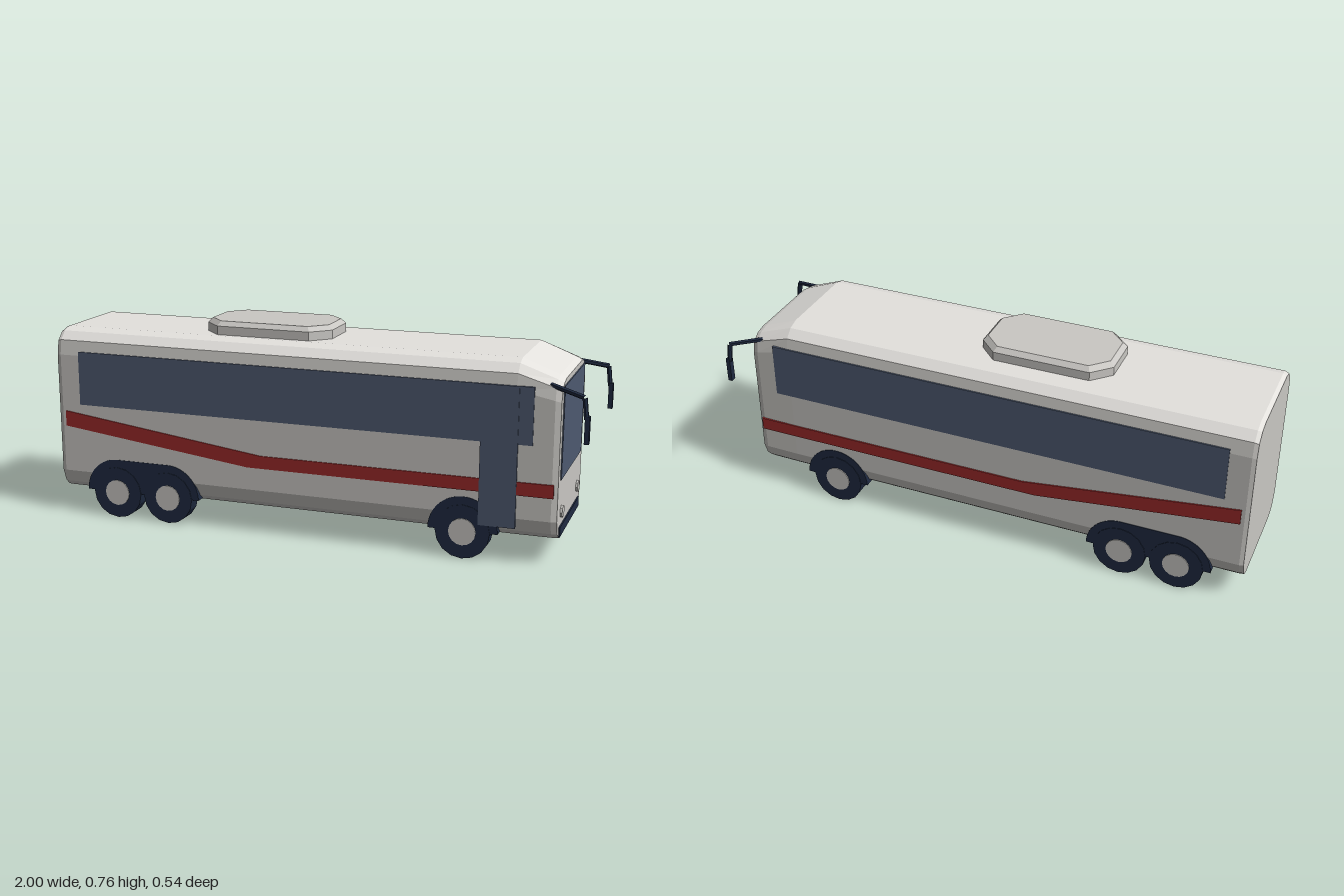
import * as THREE from 'three';

const mat = (name, color, extra = {}) => {
  const m = new THREE.MeshStandardMaterial({ color, ...extra });
  m.name = name;
  return m;
};

export function createModel() {
  const bus = new THREE.Group();
  bus.name = 'coach';
  const paint = mat('body paint', 0xcac8c4, { flatShading: true });
  const roofPaint = mat('roof paint', 0xe4e2de, { flatShading: true });
  const glass = mat('tinted glass', 0x4e5a71);
  const dark = mat('dark trim', 0x1f2a41, { flatShading: true });
  const red = mat('red stripe', 0x9a2a2a);

  const add = (name, geometry, material, x = 0, y = 0, z = 0) => {
    const m = new THREE.Mesh(geometry, material);
    m.name = name;
    m.position.set(x, y, z);
    bus.add(m);
    return m;
  };
  const box = (name, material, x0, x1, y0, y1, z0, z1) =>
    add(name, new THREE.BoxGeometry(x1 - x0, y1 - y0, z1 - z0), material,
      (x0 + x1) / 2, (y0 + y1) / 2, (z0 + z1) / 2);
  // flat outline in x and y, given depth along z between z0 and z1
  const plate = (name, shape, material, z0, z1) =>
    add(name, new THREE.ExtrudeGeometry(shape, { depth: z1 - z0, bevelEnabled: false, curveSegments: 8 }),
      material, 0, 0, z0);
  const outline = pts => new THREE.Shape(pts.map(p => new THREE.Vector2(...p)));

  // closed loft through equal-length loops; strips picked by isSecond use the second material
  const loft = (loops, isSecond = () => false) => {
    const bins = [[], []];
    const tri = (bin, ...p) => p.forEach(v => bins[bin].push(...v));
    const n = loops[0].length;
    for (let s = 0; s < loops.length - 1; s++) {
      for (let i = 0; i < n; i++) {
        const j = (i + 1) % n, bin = isSecond(i) ? 1 : 0;
        const [a, b, c, d] = [loops[s][i], loops[s + 1][i], loops[s + 1][j], loops[s][j]];
        tri(bin, a, b, c);
        tri(bin, a, c, d);
      }
    }
    const end = loops[loops.length - 1];
    for (let i = 1; i < n - 1; i++) {
      tri(0, loops[0][0], loops[0][i], loops[0][i + 1]);
      tri(0, end[0], end[i + 1], end[i]);
    }
    const g = new THREE.BufferGeometry();
    g.setAttribute('position', new THREE.Float32BufferAttribute(bins.flat(), 3));
    g.addGroup(0, bins[0].length / 3, 0);
    g.addGroup(bins[0].length / 3, bins[1].length / 3, 1);
    g.computeVertexNormals();
    return g;
  };

  // Body shell: rounded section, pulled in at the tail and sloped at the nose, with a paler roof
  const half = [[0.17, 0.087], [0.2, 0.097], [0.222, 0.117], [0.24, 0.165],
    [0.24, 0.615], [0.23, 0.67], [0.2, 0.7], [0.16, 0.712]];
  const section = [...half, ...half.map(([z, y]) => [-z, y]).reverse()];
  const stations = [[-1, 0.982, 0.006], [-0.985, 1, 0], [0.75, 1, 0], [0.88, 0.99, 0.05], [0.9, 0.96, 0.061]];
  const shell = stations.map(([x, w, drop]) => section.map(([z, y]) =>
    [x, y > 0.4 ? y - drop * (y - 0.5) / 0.212 : y, z * w]));
  add('bodyShell', loft(shell, i => i >= 5 && i <= 9), [paint, roofPaint]);

  // Roof unit: chamfered octagon with a bevelled lid
  const octagon = (y, inset) => {
    const a = 0.244 - inset, b = 0.142 - inset, c = 0.066 - inset * 0.4;
    return [[a - c, b], [c - a, b], [-a, b - c], [-a, c - b],
      [c - a, -b], [a - c, -b], [a, c - b], [a, b - c]]
      .map(([x, z]) => [x - 0.206, y, z]);
  };
  add('roofUnit', loft([octagon(0.705, 0), octagon(0.744, 0), octagon(0.761, 0.016)]), [paint, paint]);

  // Front end
  box('windscreen', glass, 0.898, 0.904, 0.305, 0.632, -0.197, 0.197);
  box('frontBumper', dark, 0.898, 0.905, 0.097, 0.133, -0.188, 0.188);

  // Side outlines
  const stripe = outline([[-0.972, 0.342], [-0.23, 0.25], [0.887, 0.25], [0.887, 0.297],
    [-0.18, 0.297], [-0.972, 0.4]]);
  const arch = (x0, x1) => {
    const s = new THREE.Shape();
    s.moveTo(x0 - 0.125, 0.1);
    s.lineTo(x1 + 0.125, 0.1);
    s.absarc(x1, 0.1, 0.125, 0, Math.PI / 2, false);
    s.absarc(x0, 0.1, 0.125, Math.PI / 2, Math.PI, false);
    return s;
  };

  for (const side of [1, -1]) {
    const label = side > 0 ? 'Near' : 'Far';
    const span = (a, b) => (side > 0 ? [a, b] : [-b, -a]);

    box('sideWindow' + label, glass, -0.91, 0.81, 0.428, 0.63, ...span(0.234, 0.2425));
    plate('stripe' + label, stripe, red, ...span(0.236, 0.2445));
    plate('rearWheelArch' + label, arch(-0.765, -0.555), dark, ...span(0.188, 0.242));
    plate('frontWheelArch' + label, arch(0.575, 0.575), dark, ...span(0.188, 0.242));

    // Wheels
    for (const x of [-0.765, -0.555, 0.575]) {
      const tyre = new THREE.CylinderGeometry(0.098, 0.098, 0.056, 16).rotateX(Math.PI / 2);
      add('tyre' + label, tyre, dark, x, 0.098, side * 0.216);
      const hub = new THREE.CylinderGeometry(0.049, 0.049, 0.01, 16).rotateX(Math.PI / 2);
      add('hub' + label, hub, paint, x, 0.098, side * 0.242);
    }

    // Headlight
    const lamp = new THREE.CylinderGeometry(0.022, 0.022, 0.012, 8).rotateZ(Math.PI / 2);
    add('headlight' + label, lamp, paint, 0.902, 0.182, side * 0.155);

    // Mirror on a bent arm
    const joints = [[0.86, 0.638, 0.218], [0.98, 0.613, 0.261], [0.988, 0.54, 0.261]]
      .map(([x, y, z]) => new THREE.Vector3(x, y, side * z));
    for (let i = 0; i < 2; i++) {
      const arm = new THREE.TubeGeometry(new THREE.LineCurve3(joints[i], joints[i + 1]), 1, 0.009, 6);
      add('mirrorArm' + label, arm, dark);
    }
    box('mirror' + label, dark, 0.984, 1, 0.457, 0.551, ...span(0.249, 0.271));
  }

  // Passenger door, on one side only
  box('door', glass, 0.63, 0.76, 0.13, 0.63, 0.237, 0.246);
  return bus;
}
